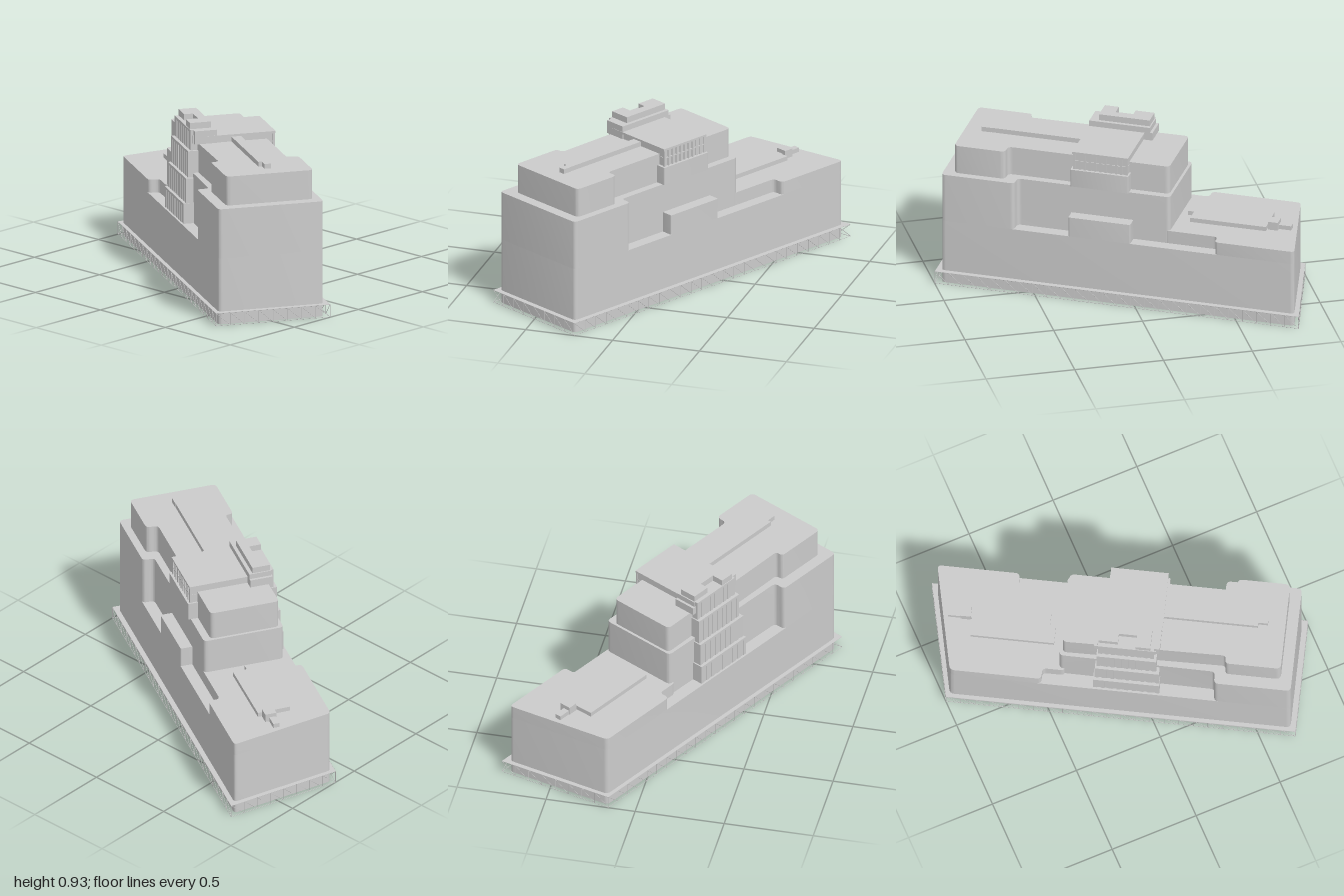
import * as THREE from 'three';
import { toCreasedNormals } from 'three/addons/utils/BufferGeometryUtils.js';

const material = new THREE.MeshStandardMaterial({ color: 0xcccccc });
const sheetMaterial = new THREE.MeshStandardMaterial({ color: 0xcccccc, side: THREE.DoubleSide });

// Plan outline with every corner rounded
function outline(points, radius) {
  const shape = new THREE.Shape();
  const n = points.length;
  points.forEach((p, i) => {
    const c = new THREE.Vector2(...p);
    const a = new THREE.Vector2(...points[(i + n - 1) % n]).sub(c);
    const b = new THREE.Vector2(...points[(i + 1) % n]).sub(c);
    const r = Math.min(radius, a.length() * 0.48, b.length() * 0.48);
    const start = a.setLength(r).add(c);
    const end = b.setLength(r).add(c);
    if (i === 0) shape.moveTo(start.x, start.y);
    else shape.lineTo(start.x, start.y);
    if (r > 0) shape.quadraticCurveTo(c.x, c.y, end.x, end.y);
  });
  shape.closePath();
  return shape;
}

// Solid raised from a plan outline between y0 and y1
function raise(shape, y0, y1) {
  const g = new THREE.ExtrudeGeometry(shape, { depth: y1 - y0, bevelEnabled: false, curveSegments: 6 });
  return g.rotateX(Math.PI / 2).translate(0, y1, 0);
}

// Only the upright sides of a raised outline
function walls(shape, y0, y1) {
  const solid = raise(shape, y0, y1);
  const { start, count } = solid.groups[1];
  const side = solid.attributes.position.array.slice(start * 3, (start + count) * 3);
  const g = new THREE.BufferGeometry();
  g.setAttribute('position', new THREE.BufferAttribute(side, 3));
  return toCreasedNormals(g, 0.5);
}

// Level sheet filling a plan outline
const sheet = (shape, y) => new THREE.ShapeGeometry(shape, 6).rotateX(-Math.PI / 2).scale(1, 1, -1).translate(0, y, 0);

export function createModel() {
  const model = new THREE.Group();
  model.name = 'officeBuilding';
  const building = new THREE.Group();
  building.name = 'building';
  building.rotation.y = -0.509;
  model.add(building);

  const add = (name, geometry, mat = material) => {
    const mesh = new THREE.Mesh(geometry, mat);
    mesh.name = name;
    building.add(mesh);
    return mesh;
  };
  const storey = (name, points, y0, y1, radius) =>
    add(name, toCreasedNormals(raise(outline(points, radius), y0, y1), 0.5));
  const box = (name, x0, x1, y0, y1, z0, z1) => {
    const g = new THREE.BoxGeometry(x1 - x0, y1 - y0, z1 - z0);
    g.translate((x0 + x1) / 2, (y0 + y1) / 2, (z0 + z1) / 2);
    return add(name, g);
  };

  // Lower floors: a shell open at the foot
  const F = 0.333, B = -0.267, R = 0.95;
  const body = outline([[-1.06, B], [R, B], [R, F], [-0.928, F]], 0.025);
  add('lowerWalls', walls(body, 0, 0.375), sheetMaterial);
  const terrace = sheet(body, 0.375);
  terrace.computeVertexNormals();
  add('terrace', terrace, sheetMaterial);

  // Stepped upper volumes
  storey('lowWing', [[-1.06, B], [-0.605, B], [-0.605, -0.2], [-0.3, -0.2], [-0.3, 0.27], [-0.424, 0.27], [-0.424, F], [-0.928, F]], 0.375, 0.45, 0.025);
  storey('middleFloors', [[-0.333, -0.2], [0.535, -0.2], [0.535, B], [R, B], [R, F], [0.527, F], [0.527, 0.265], [-0.333, 0.258]], 0.375, 0.655, 0.025);
  storey('upperFloors', [[-0.318, -0.158], [0.6, -0.158], [0.6, -0.225], [0.889, -0.225], [0.889, 0.27], [0.583, 0.27], [0.583, 0.225], [-0.318, 0.238]], 0.655, 0.82, 0.028);

  // Rear projections
  storey('rearBay', [[-0.125, B], [0.227, B], [0.227, -0.15], [-0.125, -0.15]], 0.375, 0.49, 0.008);
  storey('rearUpperBay', [[-0.1, -0.216], [0.23, -0.216], [0.23, -0.1], [-0.1, -0.1]], 0.655, 0.757, 0.008);

  // Attic with two rows of rear windows
  box('attic', -0.09, 0.214, 0.755, 0.85, -0.197, 0.2);
  box('atticRoof', -0.095, 0.222, 0.85, 0.862, -0.205, 0.21);
  box('atticMidRail', -0.092, 0.218, 0.802, 0.808, -0.203, -0.1);
  for (let i = 0; i <= 10; i++) {
    const x = -0.092 + i * 0.0298;
    box('atticMullion', x, x + 0.012, 0.755, 0.85, -0.203, -0.19);
  }

  // Stepped front tower with shallow window fins
  const stages = [[-0.14, 0.225, 0.375, 0.49, 0.322], [-0.132, 0.222, 0.49, 0.63, 0.306], [-0.125, 0.205, 0.63, 0.78, 0.29], [-0.118, 0.19, 0.78, 0.895, 0.272]];
  for (const [x0, x1, y0, y1, z] of stages) {
    box('towerStage', x0, x1, y0, y1, 0.13, z - 0.003);
    box('towerBand', x0, x1, y1 - 0.014, y1, 0.2, z);
    const step = (x1 - x0 - 0.022) / 8;
    for (let i = 0; i <= 8; i++) {
      const x = x0 + i * step;
      box('towerFin', x, x + 0.022, y0, y1 - 0.01, z - 0.01, z);
    }
  }
  box('towerShoulder', -0.14, 0.2, 0.82, 0.865, 0.13, 0.26);
  box('towerCap', -0.125, 0.22, 0.82, 0.895, 0.13, 0.255);
  storey('towerCrown', [[-0.118, 0.15], [0.17, 0.15], [0.17, 0.268], [0.09, 0.268], [0.09, 0.2], [-0.01, 0.2], [-0.01, 0.25], [-0.118, 0.25]], 0.895, 0.93, 0);

  // Rooftop plant
  box('highRoofRidge', 0.2, 0.74, 0.82, 0.847, -0.01, 0.045);
  box('highRoofRidgeEnd', 0.74, 0.793, 0.82, 0.847, -0.012, 0.025);
  storey('lowRoofPlant', [[-0.84, -0.058], [-0.408, -0.06], [-0.408, 0.02], [-0.375, 0.02], [-0.375, 0.128], [-0.835, 0.128]], 0.45, 0.475, 0);
  box('lowRoofDuct', -0.97, -0.83, 0.45, 0.475, -0.012, 0.025);
  box('lowRoofVent', -0.9, -0.845, 0.45, 0.497, -0.035, 0.03);

  // Thin deck around the foot
  const corners = [[-1.092, -0.295], [0.979, -0.295], [0.979, 0.355], [-0.946, 0.355]];
  const deckShape = outline(corners, 0);
  deckShape.holes.push(body);
  const deck = sheet(deckShape, 0.073);
  deck.computeVertexNormals();
  add('deck', deck, sheetMaterial);

  // Light truss below the deck edge
  const bar = (a, b, r = 0.0015) => {
    const g = new THREE.CylinderGeometry(r, r, a.distanceTo(b), 4);
    const m = add('trussBar', g);
    m.position.copy(a).lerp(b, 0.5);
    m.quaternion.setFromUnitVectors(new THREE.Vector3(0, 1, 0), b.clone().sub(a).normalize());
  };
  corners.forEach((p, i) => {
    const q = corners[(i + 1) % 4];
    const lo = new THREE.Vector3(p[0], 0.0015, p[1]);
    const hi = new THREE.Vector3(q[0], 0.0015, q[1]);
    const count = Math.round(lo.distanceTo(hi) / 0.08);
    const at = (k, y) => lo.clone().lerp(hi, k / count).setY(y);
    bar(lo, hi);
    bar(at(0, 0.072), at(count, 0.072));
    for (let k = 0; k < count; k++) {
      bar(at(k, 0), at(k, 0.072));
      bar(at(k, 0.002), at(k + 1, 0.072));
    }
  });
  return model;
}
